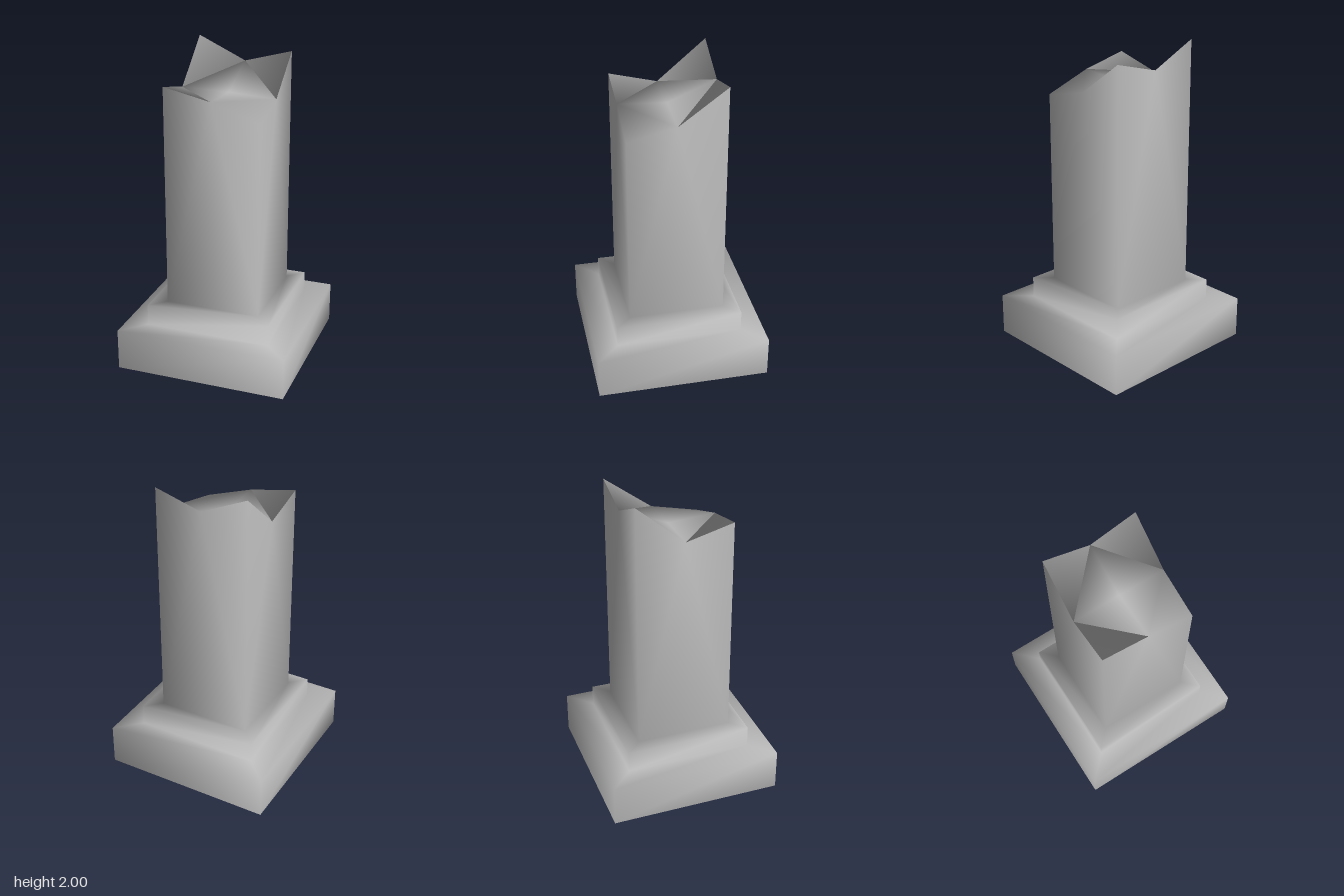
import * as THREE from 'three';

export function createModel() {
  const stone = new THREE.MeshStandardMaterial({ color: 0xb8b8b8, side: THREE.DoubleSide });
  stone.name = 'greyStone';
  const positions = [];
  const index = [];

  // Square rings climbing the stepped plinth: [half width, height]
  const corners = [[-1, 1], [1, 1], [1, -1], [-1, -1]];
  const rings = [[0.55, 0], [0.55, 0.265], [0.403, 0.265], [0.403, 0.4], [0.305, 0.4]];
  for (const [r, y] of rings) {
    for (const [x, z] of corners) positions.push(x * r, y, z * r);
  }
  for (let k = 0; k < rings.length - 1; k++) {
    for (let i = 0; i < 4; i++) {
      const j = (i + 1) % 4;
      const a = k * 4 + i, b = k * 4 + j;
      index.push(a, b, b + 4, a, b + 4, a + 4);
    }
  }

  // Broken rim: corners and side middles, from the front left corner round
  const foot = (rings.length - 1) * 4;
  const rim = foot + 4;
  const heights = [1.82, 1.755, 1.65, 1.72, 1.945, 1.86, 2.0, 1.74];
  heights.forEach((y, i) => {
    const [x0, z0] = corners[i >> 1];
    const [x1, z1] = corners[((i + 1) >> 1) % 4];
    positions.push((x0 + x1) / 2 * 0.305, y, (z0 + z1) / 2 * 0.305);
  });
  const centre = rim + 8;
  positions.push(0, 1.735, 0);

  for (let i = 0; i < 4; i++) {
    const a = foot + i, b = foot + (i + 1) % 4;
    const left = rim + 2 * i, mid = left + 1, right = rim + (2 * i + 2) % 8;
    const before = rim + (2 * i + 7) % 8;
    // Shaft side
    index.push(a, b, mid, a, mid, left, b, right, mid);
    // Broken top: corner splinter and inner facet
    index.push(before, left, mid, before, mid, centre);
  }

  const geometry = new THREE.BufferGeometry();
  geometry.setAttribute('position', new THREE.Float32BufferAttribute(positions, 3));
  geometry.setIndex(index);
  geometry.computeVertexNormals();

  const column = new THREE.Mesh(geometry, stone);
  column.name = 'brokenColumn';
  const group = new THREE.Group();
  group.name = 'brokenPillar';
  group.add(column);
  return group;
}
